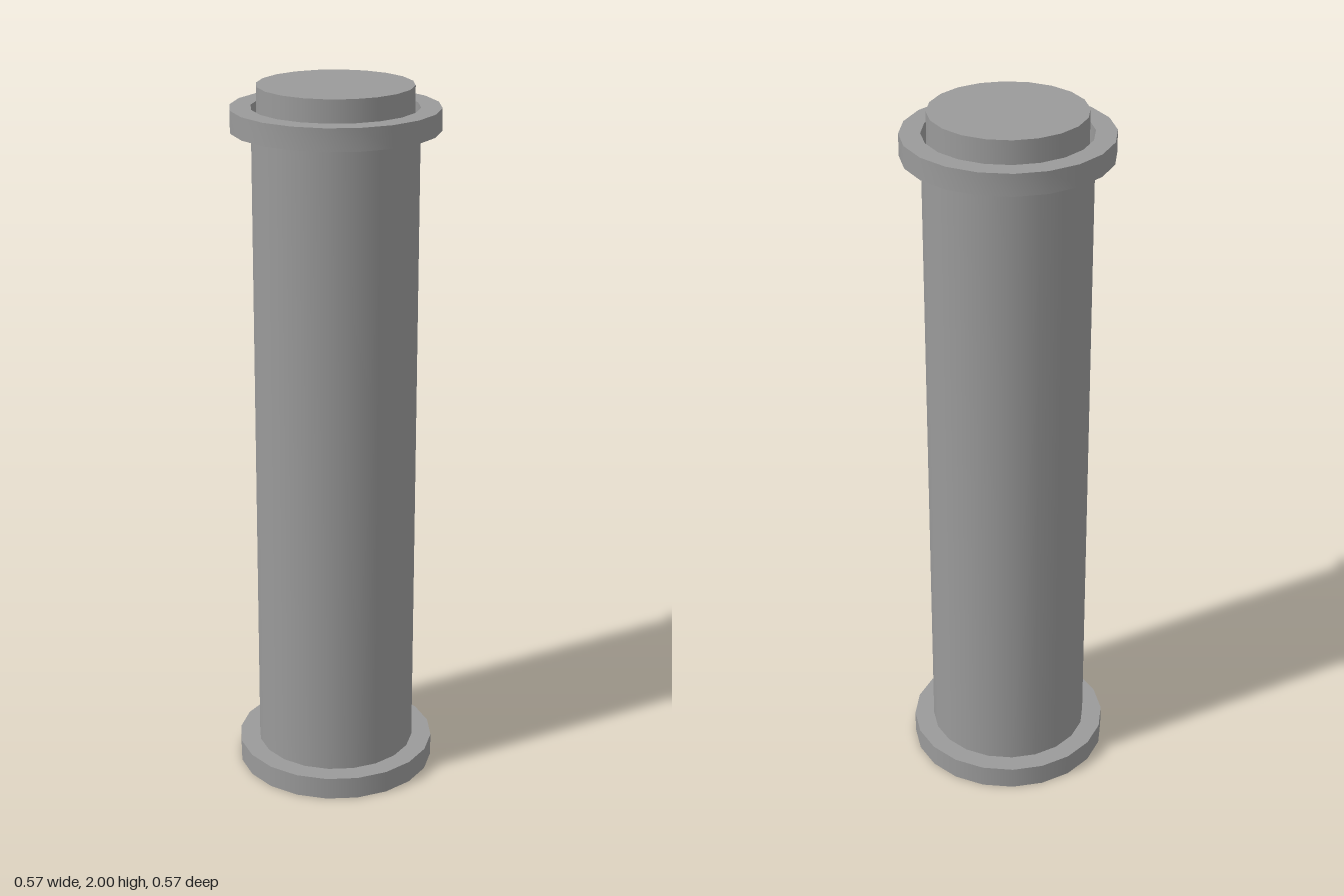
import * as THREE from 'three';
import { toCreasedNormals } from 'three/addons/utils/BufferGeometryUtils.js';

const SIDES = 20;
const BODY_R = 0.227, FLANGE_R = 0.284, PLUG_R = 0.212;
const BASE_TOP = 0.064, COLLAR_BOTTOM = 1.88, COLLAR_TOP = 1.941;

export function createModel() {
  const group = new THREE.Group();
  const material = new THREE.MeshStandardMaterial({ color: 0x9a9a9a });

  const add = (name, geometry) => {
    const mesh = new THREE.Mesh(geometry, material);
    mesh.name = name;
    group.add(mesh);
  };

  // Solid upright cylinder between two heights
  const disc = (name, radius, y0, y1) =>
    add(name, new THREE.CylinderGeometry(radius, radius, y1 - y0, SIDES).translate(0, (y0 + y1) / 2, 0));

  // Base flange, column and the plug set into the top collar
  disc('baseFlange', FLANGE_R, 0, BASE_TOP);
  disc('column', BODY_R, BASE_TOP, COLLAR_BOTTOM);
  disc('topPlug', PLUG_R, COLLAR_BOTTOM, 2);

  // Hollow collar, leaving a narrow groove around the plug
  const profile = [
    [BODY_R, COLLAR_BOTTOM], [FLANGE_R, COLLAR_BOTTOM], [FLANGE_R, COLLAR_TOP],
    [BODY_R, COLLAR_TOP], [BODY_R, COLLAR_BOTTOM],
  ].map(([r, y]) => new THREE.Vector2(r, y));
  add('topCollar', toCreasedNormals(new THREE.LatheGeometry(profile, SIDES), 0.6));

  return group;
}
